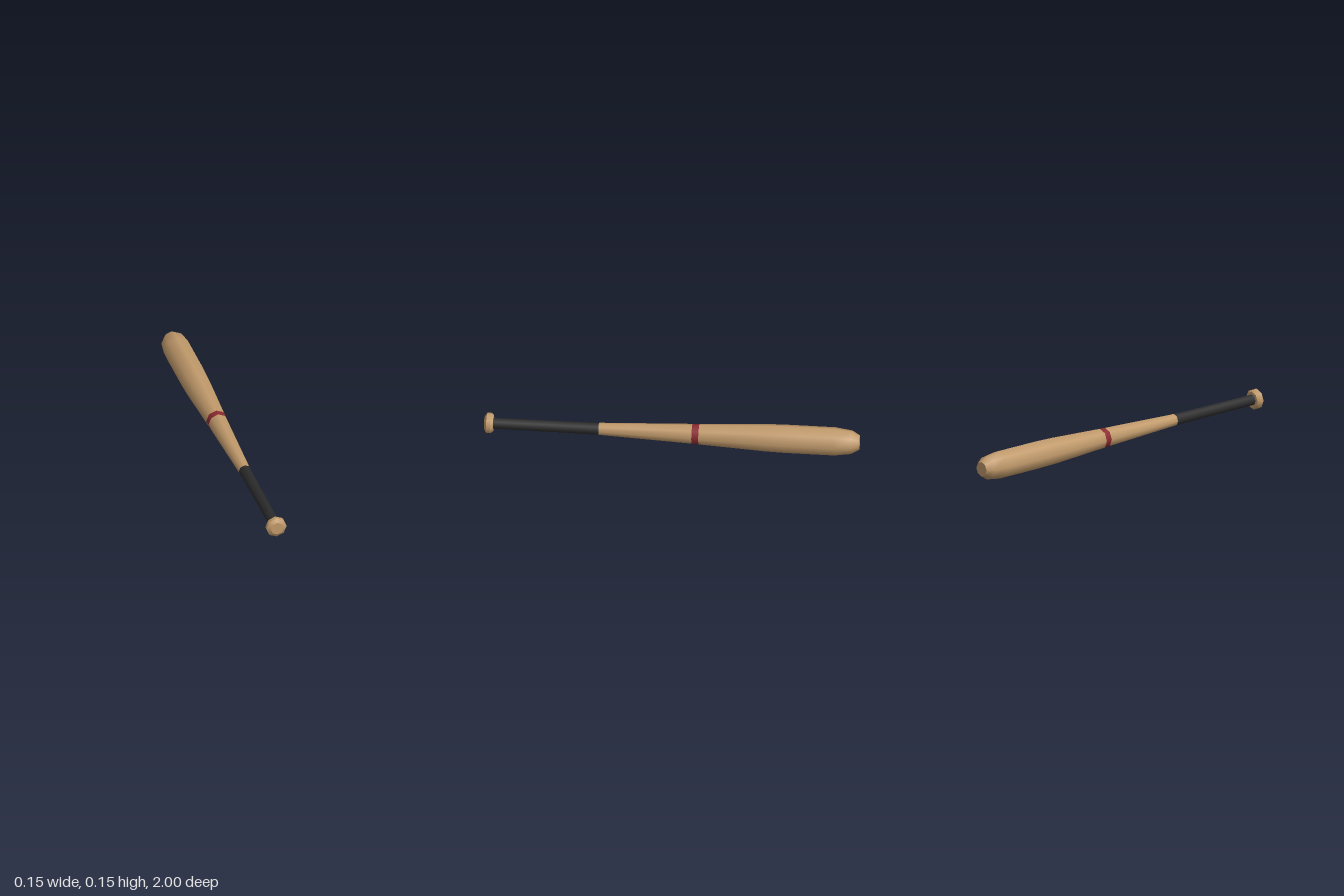
import * as THREE from 'three';

const SIDES = 8;
const AXIS_HEIGHT = 0.077;

export function createModel() {
  const wood = new THREE.MeshStandardMaterial({ color: 0xc19a6b });
  wood.name = 'wood';
  const gripBlack = new THREE.MeshStandardMaterial({ color: 0x2b2b2c });
  gripBlack.name = 'gripBlack';
  const bandRed = new THREE.MeshStandardMaterial({ color: 0x8c2a30 });
  bandRed.name = 'bandRed';

  const bat = new THREE.Group();
  bat.name = 'bat';
  bat.position.y = AXIS_HEIGHT;

  // Octagonal turned section along z; profile is [radius, z] with z ascending
  function turned(name, material, profile, parent = bat) {
    const points = profile.map(([r, z]) => new THREE.Vector2(r, z));
    const geometry = new THREE.LatheGeometry(points, SIDES);
    geometry.rotateX(Math.PI / 2);
    const mesh = new THREE.Mesh(geometry, material);
    mesh.name = name;
    parent.add(mesh);
  }

  // Flat end disc facing along z
  function cap(name, radius, z, facing, parent = bat) {
    const geometry = new THREE.CircleGeometry(radius, SIDES);
    if (facing < 0) geometry.rotateY(Math.PI);
    const mesh = new THREE.Mesh(geometry, wood);
    mesh.name = name;
    mesh.position.z = z;
    parent.add(mesh);
  }

  // Barrel with rounded tip
  cap('barrelEnd', 0.04, -1, -1);
  turned('barrel', wood, [
    [0.04, -1], [0.064, -0.96], [0.077, -0.87], [0.077, -0.6], [0.0745, -0.5], [0.056, -0.145],
  ]);

  // Painted band, taper and wrapped handle
  turned('band', bandRed, [[0.056, -0.145], [0.054, -0.108]]);
  turned('taper', wood, [[0.054, -0.108], [0.033, 0.39]]);
  turned('grip', gripBlack, [[0.033, 0.39], [0.031, 0.58], [0.03, 0.955]]);

  // Knob with crisp chamfered edges
  const knob = new THREE.Group();
  knob.name = 'knob';
  bat.add(knob);
  const rings = [[0.029, 0.952], [0.046, 0.952], [0.056, 0.966], [0.056, 0.987], [0.036, 1]];
  for (let i = 0; i < rings.length - 1; i++) {
    turned('knobRing' + (i + 1), wood, [rings[i], rings[i + 1]], knob);
  }
  cap('knobEnd', 0.036, 1, 1, knob);

  const model = new THREE.Group();
  model.name = 'model';
  model.add(bat);
  return model;
}
